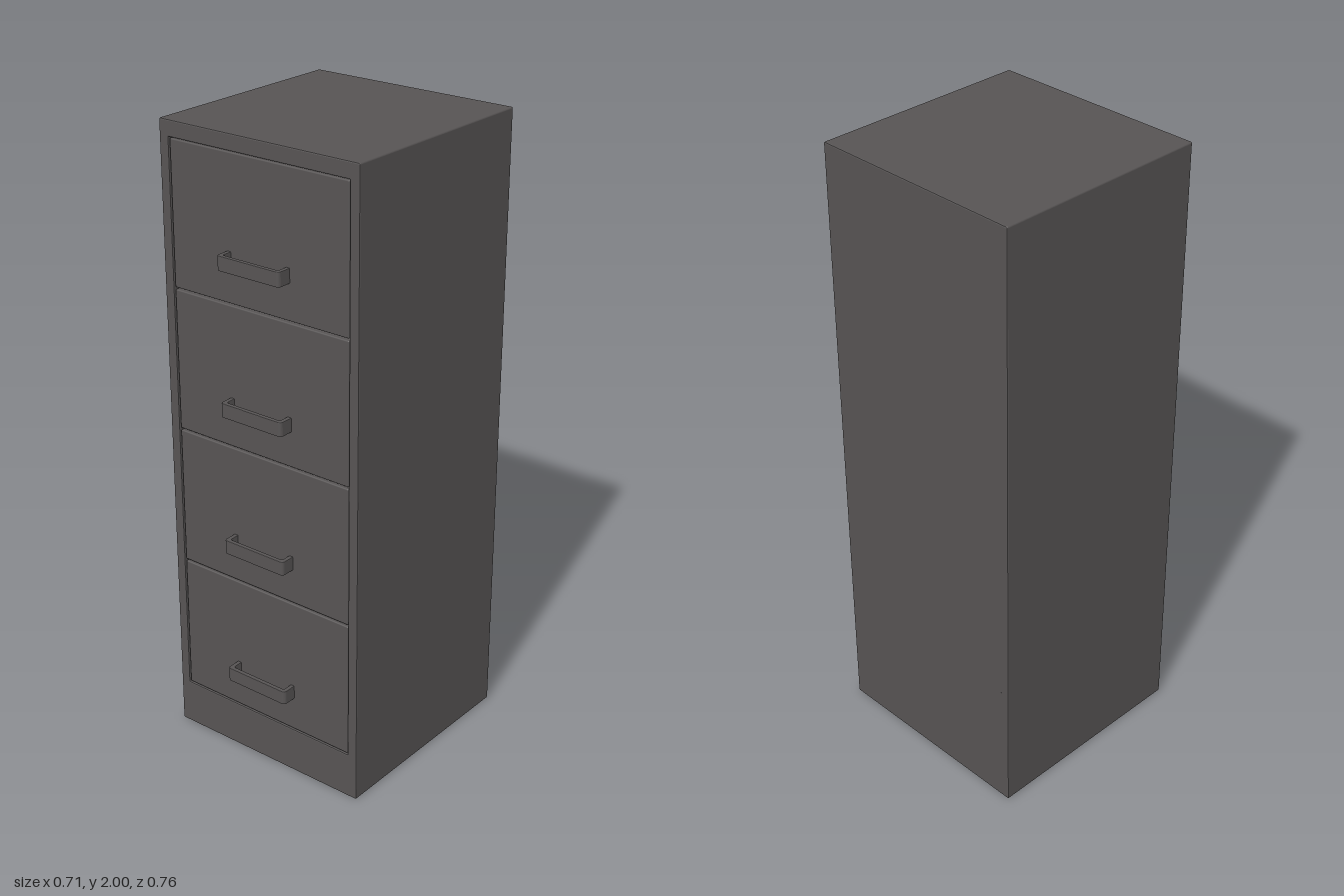
import * as THREE from 'three';
import { RoundedBoxGeometry } from 'three/addons/geometries/RoundedBoxGeometry.js';

const W = 0.712, H = 2, BACK = -0.379, FRONT = 0.334;
const BEVEL = 0.004;
const OPEN_W = 0.646, OPEN_Y0 = 0.15, OPEN_Y1 = 1.95;
const DRAWERS = 4, GAP = 0.006;

// Rectangle with rounded corners, usable as outline or hole
function roundedRect(path, x0, y0, x1, y1, r) {
  path.absarc(x1 - r, y0 + r, r, -Math.PI / 2, 0);
  path.absarc(x1 - r, y1 - r, r, 0, Math.PI / 2);
  path.absarc(x0 + r, y1 - r, r, Math.PI / 2, Math.PI);
  path.absarc(x0 + r, y0 + r, r, Math.PI, Math.PI * 1.5);
  path.closePath();
  return path;
}

// Extrusion of total depth with a small inward bevel at both ends
function bevelled(shape, depth, b) {
  const geo = new THREE.ExtrudeGeometry(shape, {
    depth: depth - 2 * b, bevelThickness: b, bevelSize: b, bevelOffset: -b,
    bevelSegments: 2, curveSegments: 5,
  });
  return geo.translate(0, 0, b);
}

// U-shaped bar handle, drawn in plan and turned to lie flat
function handleGeometry() {
  const w = 0.114, t = 0.014, base = -0.008, tip = 0.045, height = 0.045, r = 0.011, ri = 0.006;
  const s = new THREE.Shape();
  s.moveTo(-w, base);
  s.lineTo(-w + t, base);
  s.absarc(-w + t + ri, tip - t - ri, ri, Math.PI, Math.PI / 2, true);
  s.absarc(w - t - ri, tip - t - ri, ri, Math.PI / 2, 0, true);
  s.lineTo(w - t, base);
  s.lineTo(w, base);
  s.absarc(w - r, tip - r, r, 0, Math.PI / 2);
  s.absarc(-w + r, tip - r, r, Math.PI / 2, Math.PI);
  s.closePath();
  return bevelled(s, height, 0.002).translate(0, 0, -height / 2).rotateX(Math.PI / 2);
}

export function createModel() {
  const cabinet = new THREE.Group();
  cabinet.name = 'filingCabinet';
  const metal = new THREE.MeshStandardMaterial({ color: 0x575454 });
  const add = (parent, name, geo, x, y, z) => {
    const mesh = new THREE.Mesh(geo, metal);
    mesh.name = name;
    mesh.position.set(x, y, z);
    parent.add(mesh);
  };

  // Outer casing: a tube running front to back around the drawer opening
  const outline = roundedRect(new THREE.Shape(), -W / 2, 0, W / 2, H, 0.005);
  outline.holes.push(roundedRect(new THREE.Path(), -OPEN_W / 2, OPEN_Y0, OPEN_W / 2, OPEN_Y1, 0.002));
  add(cabinet, 'casing', bevelled(outline, FRONT - BACK, BEVEL), 0, 0, BACK);

  // Back panel fills the rear of the opening flush with the casing
  add(cabinet, 'backPanel',
    new THREE.BoxGeometry(OPEN_W + 2 * BEVEL, OPEN_Y1 - OPEN_Y0 + 2 * BEVEL, 0.02),
    0, (OPEN_Y0 + OPEN_Y1) / 2, BACK + 0.01);

  // Four equal drawers, each with its handle below the middle
  const pitch = (OPEN_Y1 - OPEN_Y0) / DRAWERS, depth = 0.66, face = FRONT - 0.002;
  const drawerGeo = new RoundedBoxGeometry(OPEN_W - GAP, pitch - GAP, depth, 2, 0.004);
  const handleGeo = handleGeometry();
  for (let i = 0; i < DRAWERS; i++) {
    const drawer = new THREE.Group();
    drawer.name = 'drawer' + (i + 1);
    drawer.position.y = OPEN_Y0 + pitch * i;
    add(drawer, 'drawerBox', drawerGeo, 0, pitch / 2, face - depth / 2);
    add(drawer, 'handle', handleGeo, 0, 0.137, FRONT);
    cabinet.add(drawer);
  }
  return cabinet;
}
